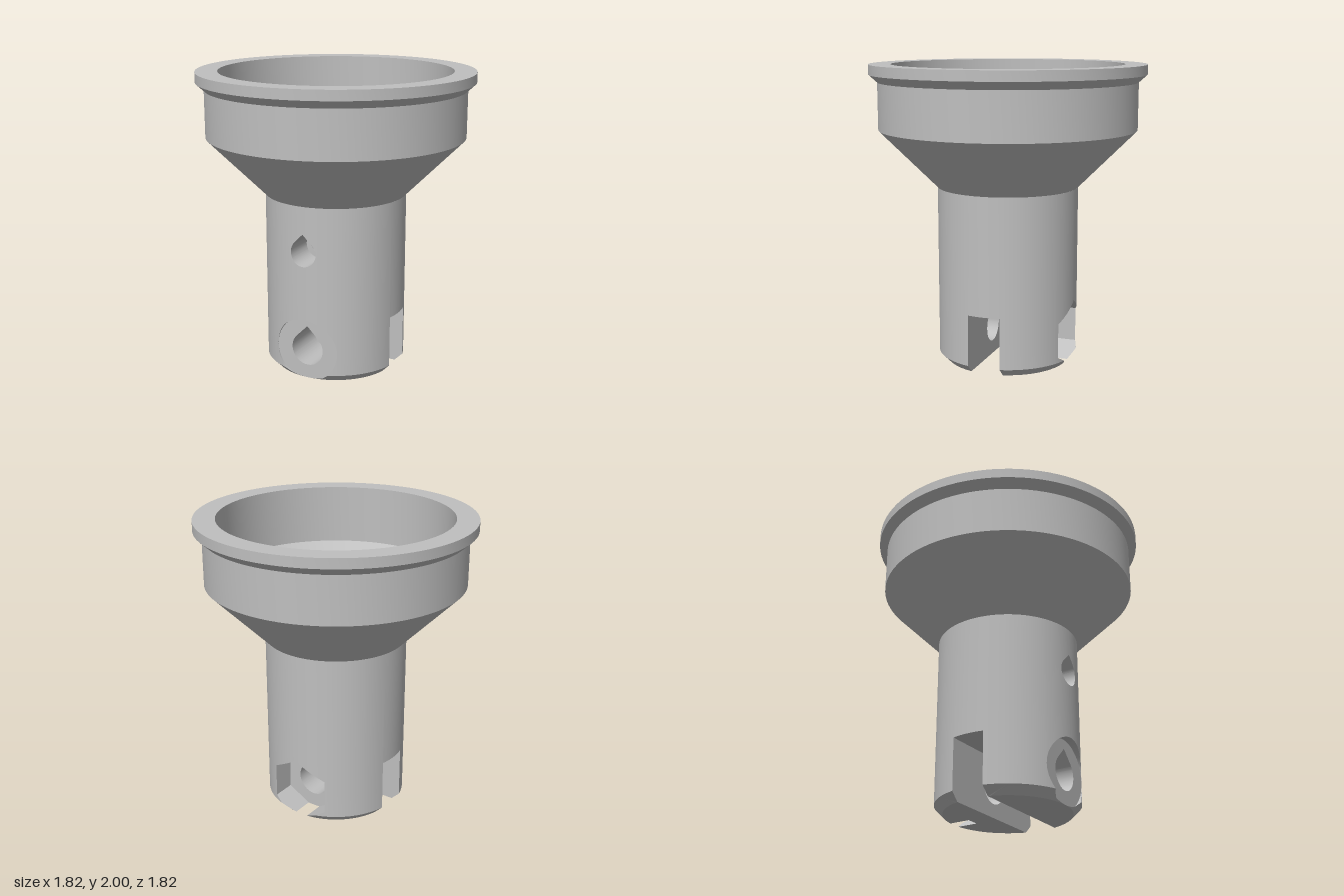
import * as THREE from 'three';
import { mergeGeometries, toCreasedNormals } from 'three/addons/utils/BufferGeometryUtils.js';

// Main dimensions
const R = 0.47, NECK_TOP = 1.19, SLOT = 0.11, SLOT_TOP = 0.4, CHAMFER = 0.055;
const BOLT_Y = 0.205, BOLT_R = 0.113, SPOT_R = 0.22, SPOT_Z = 0.415;
const HEX_X = 0.2, HEX_SIDE = 0.231, HEX_Z = 0.27, HEX_OPEN = 0.0455;
const PORT_Y = 0.88, PORT_R = 0.09, PORT_IN = 0.055, PORT_Z = 0.25;
const EDGE = Math.sqrt(R * R - SLOT * SLOT);
const root = (v) => Math.sqrt(Math.max(0, v));

// Ruled surface between curves f(t) and g(t), skipping collapsed triangles
function band(ts, f, g, flip = false) {
  const pos = [];
  const tri = (a, b, c) => {
    const area = b.clone().sub(a).cross(c.clone().sub(a)).length();
    if (area > 1e-9) for (const p of flip ? [a, c, b] : [a, b, c]) pos.push(p.x, p.y, p.z);
  };
  const V = (p) => new THREE.Vector3(...p);
  for (let i = 0; i + 1 < ts.length; i++) {
    const a = V(f(ts[i])), b = V(f(ts[i + 1])), c = V(g(ts[i + 1])), d = V(g(ts[i]));
    tri(a, b, c);
    tri(a, c, d);
  }
  const geo = new THREE.BufferGeometry();
  geo.setAttribute('position', new THREE.Float32BufferAttribute(pos, 3));
  return geo;
}

// Columns in x, dense near the rims of the round cut-outs
function columns() {
  const half = [0, EDGE, 0.4, HEX_X, HEX_X + 0.0002, HEX_OPEN, HEX_OPEN + 0.0002, 0.14, 0.161];
  for (let k = 1; k <= 24; k++) half.push(R * Math.sin((k / 24) * Math.asin(EDGE / R)));
  for (const r of [SPOT_R, BOLT_R, PORT_R, PORT_IN])
    for (let k = 1; k <= 10; k++) half.push(r * Math.sin((k / 10) * Math.PI / 2));
  const all = half.flatMap((x) => [x, -x]).sort((a, b) => a - b);
  return all.filter((x, i) => i === 0 || x - all[i - 1] > 1e-6);
}

// Lower and upper edge of a teardrop hole at a given x
const tear = (cy, r) => ({
  lo: (x) => cy - root(r * r - x * x),
  hi: (x) => {
    const a = Math.abs(x);
    if (a >= r) return cy;
    return cy + (a > r * Math.SQRT1_2 ? root(r * r - x * x) : r * Math.SQRT2 - a);
  },
});

export function createModel() {
  const group = new THREE.Group();
  const grey = new THREE.MeshStandardMaterial({ color: 0xbfbfbf, side: THREE.DoubleSide });
  grey.name = 'grey plastic';
  const add = (name, geos) => {
    const mesh = new THREE.Mesh(toCreasedNormals(mergeGeometries(geos), 0.4), grey);
    mesh.name = name;
    group.add(mesh);
  };

  const xs = columns();
  const within = (r, from = -r) => xs.filter((x) => x <= r + 1e-7 && x >= from - 1e-7);
  const bolt = tear(BOLT_Y, BOLT_R), port = tear(PORT_Y, PORT_R), inner = tear(PORT_Y, PORT_IN);

  // Outer depth of the neck, including the chamfered foot
  const outer = (x, y) => root(Math.min(R, R - CHAMFER + y) ** 2 - x * x);
  const foot = (x) => Math.max(0, Math.hypot(x, SLOT) - (R - CHAMFER));
  const spot = (x) => root(SPOT_R ** 2 - x * x);
  const spotHi = (x) => BOLT_Y + spot(x);
  const spotLo = (x) => Math.min(BOLT_Y, Math.max(BOLT_Y - spot(x),
    Math.hypot(x, SPOT_Z) - (R - CHAMFER)));
  const hex = (x) => (Math.abs(x) <= HEX_X + 1e-6 ? HEX_SIDE - Math.abs(x) / Math.sqrt(3) : 0);
  const hexHi = (x) => BOLT_Y + hex(x);
  const hexLo = (x) => Math.max(0, BOLT_Y - hex(x));

  // Surface between two heights: on the neck skin (side = 1 front, -1 back) or on a flat plane
  const skin = (side, lo, hi) => band(xs,
    (x) => [x, lo(x), side * outer(x, lo(x))],
    (x) => { const y = Math.max(lo(x), hi(x)); return [x, y, side * outer(x, y)]; }, side < 0);
  const plane = (z, lo, hi, flip) => band(xs,
    (x) => [x, lo(x), z], (x) => [x, Math.max(lo(x), hi(x)), z], flip);
  // Wall of a cut-out running in z
  const wall = (cols, y, z0, z1, flip) => band(cols,
    (x) => [x, y(x), z0], (x) => [x, y(x), typeof z1 === 'number' ? z1 : z1(x)], flip);

  // Neck skin and chamfered foot
  const rim = () => CHAMFER, top = () => NECK_TOP;
  const zs = Array.from({ length: 9 }, (_, i) => SLOT * (i / 4 - 1));
  const round = (z) => Math.sqrt(R * R - z * z);
  add('neck', [
    skin(1, foot, (x) => Math.min(CHAMFER, spotLo(x))),
    skin(1, rim, spotLo),
    skin(1, spotHi, port.lo),
    skin(1, port.hi, top),
    skin(-1, foot, (x) => Math.min(CHAMFER, hexLo(x))),
    skin(-1, rim, hexLo),
    skin(-1, hexHi, top),
    ...[1, -1].map((s) => band(zs, (z) => [s * round(z), SLOT_TOP, z],
      (z) => [s * round(z), NECK_TOP, z], s > 0)),
  ]);

  // Slot across the foot and the undersides of both prongs
  const sole = (x) => Math.max(SLOT, outer(x, 0));
  const backSole = (x) => (Math.abs(x) <= HEX_OPEN + 1e-6 ? HEX_Z : sole(x));
  add('slot', [
    band(zs, (z) => [-round(z), SLOT_TOP, z], (z) => [round(z), SLOT_TOP, z], true),
    ...[1, -1].flatMap((s) => [
      plane(s * SLOT, foot, bolt.lo, s > 0),
      plane(s * SLOT, bolt.hi, () => SLOT_TOP, s > 0),
    ]),
    band(xs, (x) => [x, 0, SLOT], (x) => [x, 0, sole(x)]),
    band(xs, (x) => [x, 0, -SLOT], (x) => [x, 0, -backSole(x)], true),
  ]);

  // Front spot face with the teardrop bolt hole
  const bc = within(BOLT_R), sc = within(SPOT_R);
  add('boltSeat', [
    plane(SPOT_Z, spotLo, bolt.lo),
    plane(SPOT_Z, bolt.hi, spotHi),
    wall(sc, spotHi, SPOT_Z, (x) => outer(x, spotHi(x))),
    wall(sc, spotLo, SPOT_Z, (x) => outer(x, spotLo(x)), true),
    wall(bc, bolt.hi, SLOT, SPOT_Z),
    wall(bc, bolt.lo, SLOT, SPOT_Z, true),
  ]);

  // Hexagonal nut pocket at the back
  const hexOut = (y) => (x) => -outer(x, y(x));
  const side = [BOLT_Y - HEX_SIDE / 2, BOLT_Y + HEX_SIDE / 2];
  add('nutPocket', [
    plane(-HEX_Z, hexLo, bolt.lo, true),
    plane(-HEX_Z, bolt.hi, hexHi, true),
    wall(within(HEX_X), hexHi, -HEX_Z, hexOut(hexHi), true),
    wall(within(HEX_X, HEX_OPEN), hexLo, -HEX_Z, hexOut(hexLo)),
    wall(within(-HEX_OPEN, -HEX_X), hexLo, -HEX_Z, hexOut(hexLo)),
    ...[1, -1].map((s) => band(side, (y) => [s * HEX_X, y, -HEX_Z],
      (y) => [s * HEX_X, y, -outer(HEX_X, y)], s < 0)),
    wall(bc, bolt.hi, -HEX_Z, -SLOT),
    wall(bc, bolt.lo, -HEX_Z, -SLOT, true),
  ]);

  // Small stepped teardrop port on the front
  const pc = within(PORT_R), ic = within(PORT_IN);
  add('port', [
    plane(PORT_Z, port.lo, inner.lo),
    plane(PORT_Z, inner.hi, port.hi),
    wall(pc, port.hi, PORT_Z, (x) => outer(x, 1)),
    wall(pc, port.lo, PORT_Z, (x) => outer(x, 1), true),
    wall(ic, inner.hi, 0.08, PORT_Z),
    wall(ic, inner.lo, 0.08, PORT_Z, true),
  ]);

  // Funnel cup with rim, stepped centre post and blind bore
  const profile = [
    [R, NECK_TOP], [0.855, 1.575], [0.855, 1.885], [0.91, 1.935], [0.91, 2], [0.765, 2],
    [0.765, 1.61], [0.38, 1.23], [0.27, 1.23], [0.27, 1.4], [0.18, 1.4], [0.18, 1.57],
    [0.13, 1.57], [0.1, 1.54], [0.1, 0.88], [0, 0.82],
  ].map(([x, y]) => new THREE.Vector2(x, y));
  add('funnelCup', [new THREE.LatheGeometry(profile, 96)]);

  return group;
}
